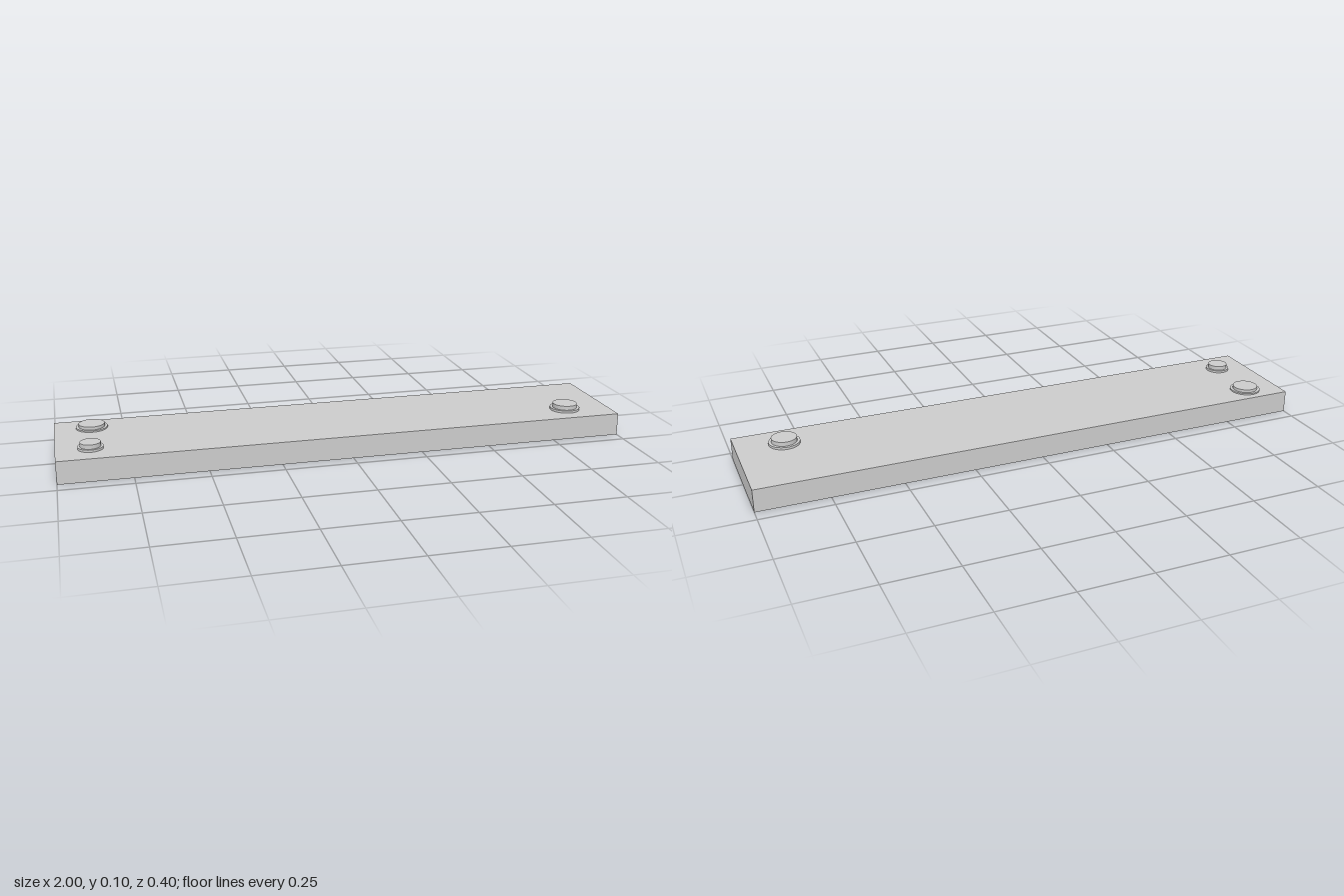
import * as THREE from 'three';

const material = new THREE.MeshStandardMaterial({ color: 0xcccccc });
const TOP = 0.08;

// Stepped round stud: a wide thin flange with a narrower cap on it
function makeStud(name, x, z, flangeRadius, flangeHeight, capRadius, capHeight) {
  const stud = new THREE.Group();
  stud.name = name;
  const addDisc = (part, radius, y0, y1) => {
    const disc = new THREE.Mesh(new THREE.CylinderGeometry(radius, radius, y1 - y0, 32), material);
    disc.name = part;
    disc.position.y = (y0 + y1) / 2;
    stud.add(disc);
  };
  addDisc('flange', flangeRadius, 0, flangeHeight);
  addDisc('cap', capRadius, flangeHeight, flangeHeight + capHeight);
  stud.position.set(x, TOP, z);
  return stud;
}

export function createModel() {
  const model = new THREE.Group();
  model.name = 'studdedPlate';

  // Flat base plate
  const plate = new THREE.Mesh(new THREE.BoxGeometry(2, TOP, 0.4), material);
  plate.name = 'plate';
  plate.position.y = TOP / 2;
  model.add(plate);

  // Three studs near the corners
  model.add(
    makeStud('frontLeftStud', 0.835, 0.096, 0.054, 0.008, 0.044, 0.015),
    makeStud('frontRightStud', -0.883, 0.096, 0.043, 0.008, 0.035, 0.015),
    makeStud('backRightStud', -0.87, -0.12, 0.055, 0.005, 0.045, 0.011),
  );
  return model;
}
